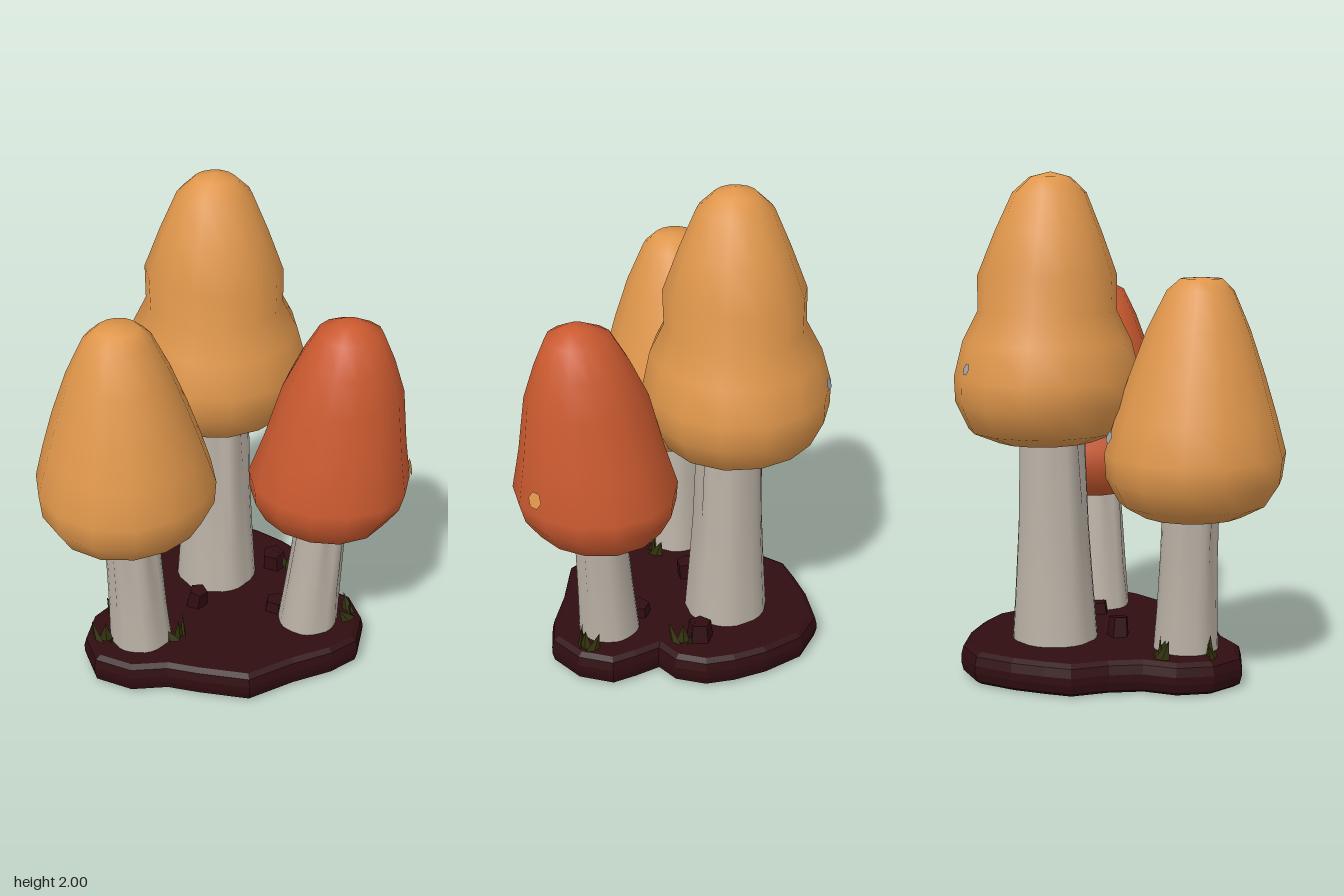
import * as THREE from 'three';
import { mergeVertices } from 'three/addons/utils/BufferGeometryUtils.js';

const paint = (name, color) => {
  const m = new THREE.MeshStandardMaterial({ color });
  m.name = name;
  return m;
};

export function createModel() {
  const model = new THREE.Group();
  const orange = paint('orange cap', 0xdf964b);
  const red = paint('red cap', 0xcb5a30);
  const cream = paint('pale stem', 0xbab1a5);
  const soil = paint('dark soil', 0x300d10);
  const green = paint('dark leaf', 0x33330f);
  const grey = paint('grey fleck', 0xa0a2a4);

  const add = (parent, name, geometry, material) => {
    const mesh = new THREE.Mesh(geometry, material);
    mesh.name = name;
    parent.add(mesh);
    return mesh;
  };

  // Lathe whose axis leans from one point to another, reshaped by a radius rule
  const leaningLathe = (profile, sides, from, to, rule) => {
    let g = new THREE.LatheGeometry(profile.map(([r, y]) => new THREE.Vector2(r, y)), sides);
    g.deleteAttribute('uv');
    g.deleteAttribute('normal');
    const p = g.attributes.position;
    const y0 = profile[0][1], y1 = profile[profile.length - 1][1];
    for (let i = 0; i < p.count; i++) {
      const x = p.getX(i), y = p.getY(i), z = p.getZ(i);
      const t = (y - y0) / (y1 - y0);
      const k = rule(Math.atan2(z, x), t);
      p.setXYZ(i,
        x * k + THREE.MathUtils.lerp(from[0], to[0], t), y,
        z * k + THREE.MathUtils.lerp(from[1], to[1], t));
    }
    g = mergeVertices(g, 1e-4);
    g.computeVertexNormals();
    return g;
  };

  // Each mushroom: cap profile is [radius, height]; axes are [x, z]
  const mushrooms = [
    {
      name: 'leftMushroom', cap: orange, seed: 1,
      profile: [[0, 0.69], [0.2, 0.68], [0.29, 0.73], [0.345, 0.82], [0.355, 0.92], [0.315, 1.06],
        [0.265, 1.22], [0.2, 1.4], [0.13, 1.55], [0.08, 1.595], [0, 1.6]],
      capFrom: [-0.39, 0.215], capTo: [-0.4, 0.245],
      stem: [[0.128, 0.1], [0.118, 0.3], [0.112, 0.5], [0.11, 0.78]],
      stemFrom: [-0.35, 0.22], stemTo: [-0.38, 0.22]
    },
    {
      name: 'rightMushroom', cap: red, seed: 4,
      profile: [[0, 0.65], [0.17, 0.64], [0.26, 0.69], [0.31, 0.78], [0.322, 0.86], [0.28, 1.03],
        [0.235, 1.26], [0.18, 1.4], [0.125, 1.51], [0.05, 1.55], [0, 1.555]],
      capFrom: [0.415, 0.21], capTo: [0.475, 0.255],
      stem: [[0.125, 0.1], [0.115, 0.3], [0.107, 0.5], [0.1, 0.74]],
      stemFrom: [0.36, 0.22], stemTo: [0.41, 0.23]
    },
    {
      name: 'middleMushroom', cap: orange, seed: 8,
      profile: [[0, 0.96], [0.2, 0.945], [0.31, 0.99], [0.365, 1.1], [0.37, 1.2], [0.335, 1.34],
        [0.275, 1.46], [0.275, 1.6], [0.21, 1.77], [0.145, 1.92], [0.08, 1.98], [0, 2]],
      capFrom: [0.035, -0.21], capTo: [0.025, -0.185],
      stem: [[0.172, 0.1], [0.155, 0.35], [0.14, 0.6], [0.128, 1.02]],
      stemFrom: [0.03, -0.17], stemTo: [0.035, -0.18]
    }
  ];

  for (const m of mushrooms) {
    const group = new THREE.Group();
    group.name = m.name;
    model.add(group);
    // Slightly lumpy cap
    add(group, 'cap', leaningLathe(m.profile, 14, m.capFrom, m.capTo,
      (a, t) => 1 + 0.018 * Math.sin(3 * a + m.seed + 4 * t)), m.cap);
    // Stem with lengthwise furrows that deepen toward the cap and the front
    add(group, 'stem', leaningLathe(m.stem, 28, m.stemFrom, m.stemTo, (a, t) => {
      const front = 0.5 + 0.5 * Math.sin(a);
      const furrow = Math.pow(0.5 + 0.5 * Math.sin(7 * a + m.seed + t), 3);
      return 1.02 - furrow * (0.03 + 0.2 * front * t);
    }), cream);
  }

  // Lobed soil mound, outline as [x, z]
  const outline = [[0.05, 0.57], [0.25, 0.5], [0.42, 0.46], [0.54, 0.4], [0.6, 0.25], [0.58, 0.1],
    [0.5, 0.03], [0.42, -0.03], [0.46, -0.12], [0.44, -0.25], [0.37, -0.35], [0.27, -0.45],
    [0.12, -0.55], [-0.04, -0.56], [-0.18, -0.47], [-0.28, -0.38], [-0.36, -0.3], [-0.39, -0.15],
    [-0.44, -0.03], [-0.54, 0.06], [-0.59, 0.2], [-0.56, 0.35], [-0.42, 0.44], [-0.27, 0.45], [-0.15, 0.5]];
  const mound = new THREE.ExtrudeGeometry(
    new THREE.Shape(outline.map(([x, z]) => new THREE.Vector2(x, -z))),
    { depth: 0.03, bevelThickness: 0.05, bevelSize: 0.03, bevelOffset: -0.03, bevelSegments: 2 });
  mound.rotateX(-Math.PI / 2).translate(0, 0.05, 0);
  add(model, 'soilMound', mound, soil);

  // Clods lying on the soil
  [[-0.09, 0.06, 0.05, 0.075], [0.24, 0.14, 0.055, 0.045], [0.29, -0.16, 0.06, 0.07]].forEach(([x, z, r, h], i) => {
    const clod = add(model, 'soilClod', new THREE.CylinderGeometry(r * 0.8, r, h + 0.03, 5).toNonIndexed(), soil);
    clod.geometry.computeVertexNormals();
    clod.position.set(x, 0.115 + h / 2, z);
    clod.rotation.set(0.1, i * 1.3, -0.12);
  });

  // Tufts of three stubby leaves
  const leaf = new THREE.ConeGeometry(0.035, 0.1, 4).toNonIndexed();
  leaf.scale(1, 1, 0.35).translate(0, 0.05, 0);
  leaf.computeVertexNormals();
  [[-0.5, 0.24], [-0.2, 0.27], [0.54, 0.24], [0.35, -0.11], [-0.42, 0.06]].forEach(([x, z], i) => {
    const tuft = new THREE.Group();
    tuft.name = 'leafTuft';
    tuft.position.set(x, 0.115, z);
    tuft.rotation.y = i * 0.7;
    for (let k = -1; k <= 1; k++) {
      const blade = add(tuft, 'leaf', leaf, green);
      blade.position.x = k * 0.03;
      blade.rotation.set(0.15 * k, k, -0.45 * k);
    }
    model.add(tuft);
  });

  // Tiny flecks on the caps: position, facing direction, radius, colour
  const flecks = [
    [[-0.01, 1.25, -0.567], [0, 0.3, -1], 0.025, grey],
    [[-0.34, 1.0, -0.125], [0.1, 0.35, -1], 0.025, grey],
    [[0.726, 0.93, 0.33], [1, 0.3, 0.35], 0.035, orange]
  ];
  for (const [at, facing, r, material] of flecks) {
    const fleck = add(model, 'fleck', new THREE.CircleGeometry(r, 6), material);
    fleck.position.set(...at);
    fleck.lookAt(new THREE.Vector3(...at).add(new THREE.Vector3(...facing)));
  }

  return model;
}
